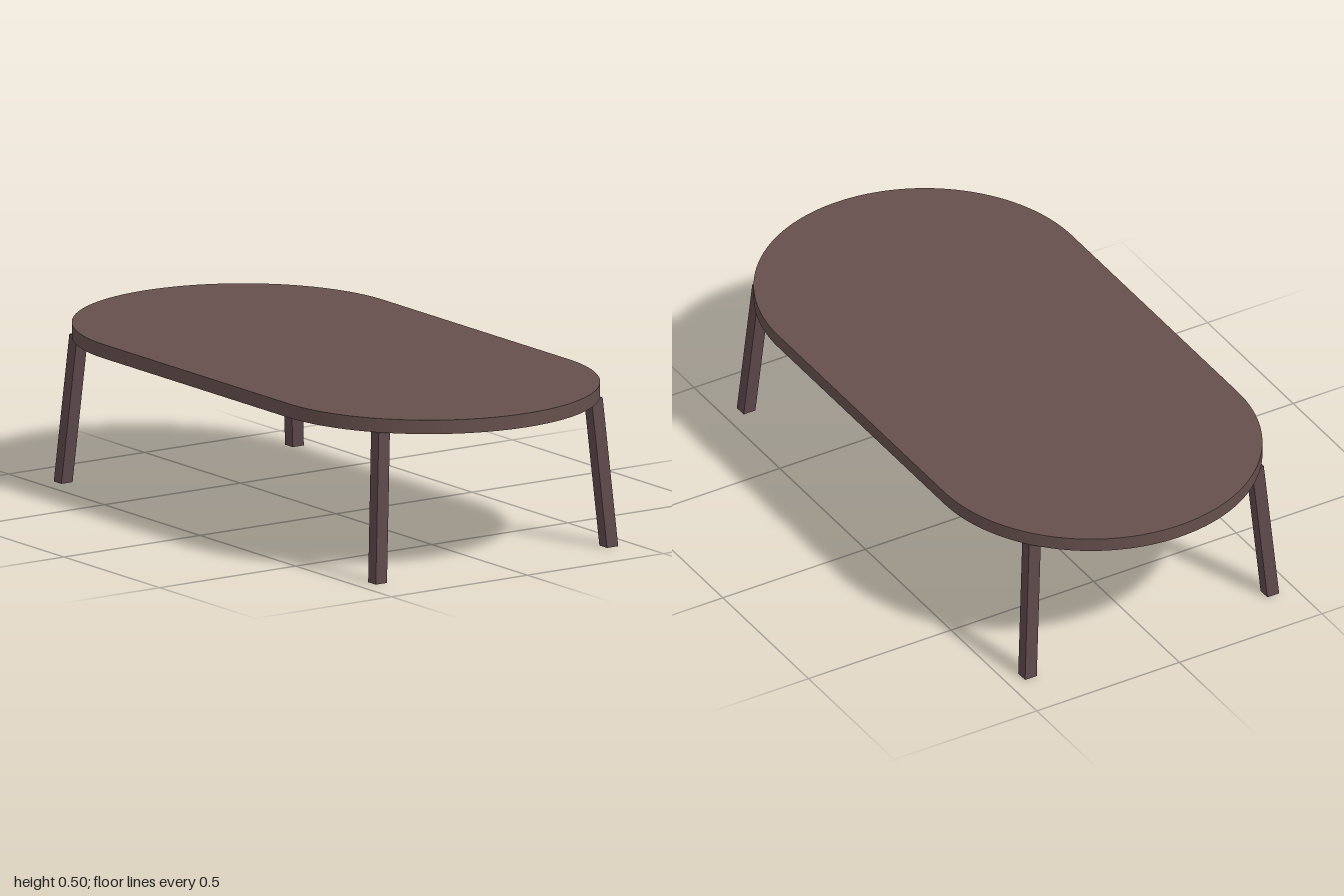
import * as THREE from 'three';

const TOP_Y = 0.5, THICKNESS = 0.043, RADIUS = 0.515, HALF_STRAIGHT = 0.485;

// Stadium-shaped slab, laid flat
function createTop(material) {
  const shape = new THREE.Shape();
  shape.absarc(HALF_STRAIGHT, 0, RADIUS, -Math.PI / 2, Math.PI / 2, false);
  shape.absarc(-HALF_STRAIGHT, 0, RADIUS, Math.PI / 2, Math.PI * 1.5, false);
  shape.closePath();
  const geometry = new THREE.ExtrudeGeometry(shape, { depth: THICKNESS, bevelEnabled: false, curveSegments: 32 });
  geometry.rotateX(-Math.PI / 2);
  geometry.translate(0, TOP_Y - THICKNESS, 0);
  const top = new THREE.Mesh(geometry, material);
  top.name = 'tableTop';
  return top;
}

// Square leg sheared outwards, so its foot stays flat on the floor
function createLeg(sx, sz, material) {
  const height = TOP_Y - THICKNESS;
  const geometry = new THREE.BoxGeometry(0.04, height, 0.041);
  geometry.translate(0, height / 2, 0);
  const p = geometry.attributes.position;
  for (let i = 0; i < p.count; i++) {
    const t = p.getY(i) / height;
    p.setX(i, p.getX(i) + sx * THREE.MathUtils.lerp(0.821, 0.788, t));
    p.setZ(i, p.getZ(i) + sz * THREE.MathUtils.lerp(0.425, 0.391, t));
  }
  geometry.computeVertexNormals();
  const leg = new THREE.Mesh(geometry, material);
  leg.name = (sz > 0 ? 'front' : 'back') + (sx > 0 ? 'Left' : 'Right') + 'Leg';
  return leg;
}

export function createModel() {
  const group = new THREE.Group();
  group.name = 'coffeeTable';
  const topMaterial = new THREE.MeshStandardMaterial({ color: 0x654f4c });
  const legMaterial = new THREE.MeshStandardMaterial({ color: 0x5c474b });
  group.add(createTop(topMaterial));
  for (const sx of [-1, 1]) {
    for (const sz of [-1, 1]) group.add(createLeg(sx, sz, legMaterial));
  }
  return group;
}
